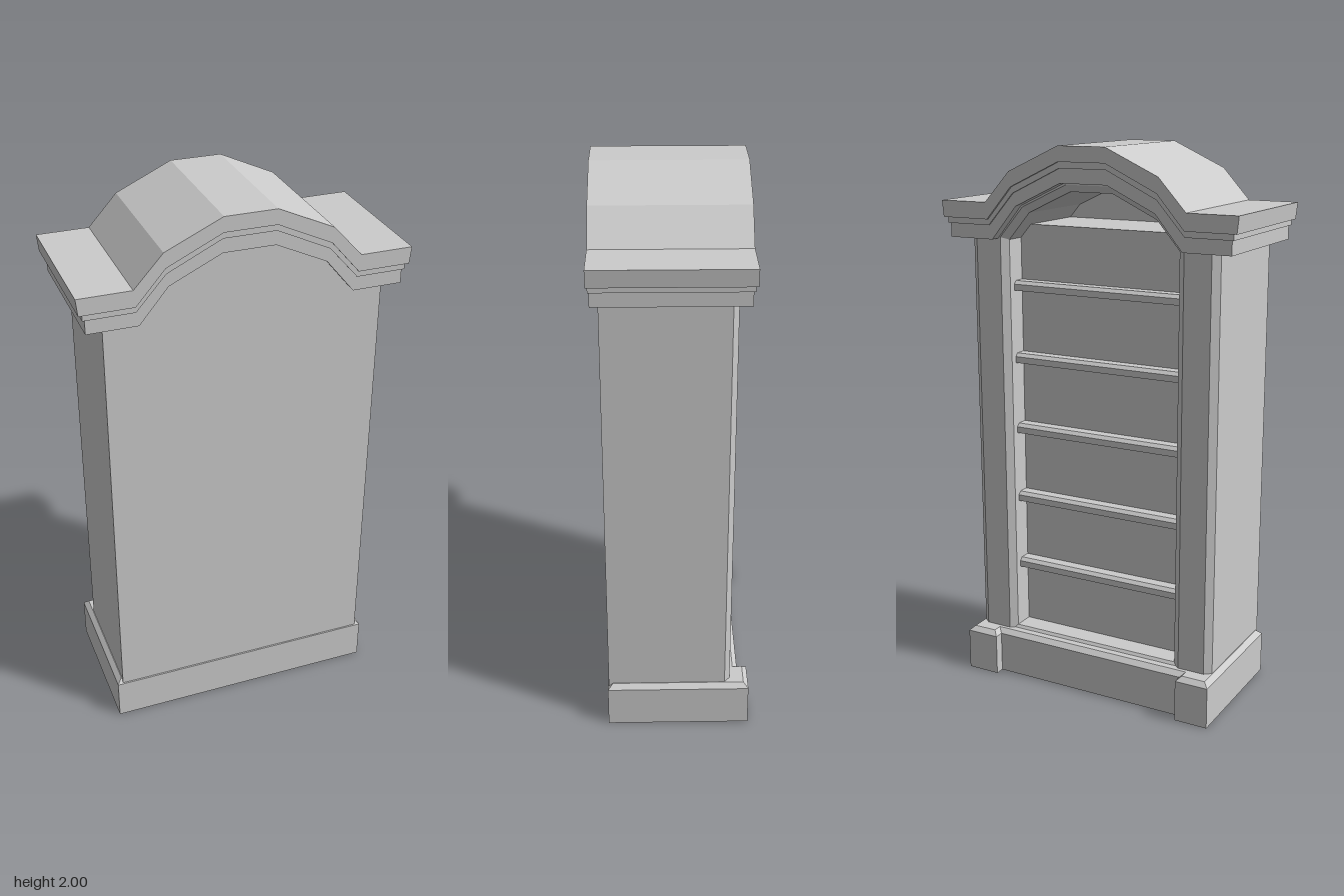
import * as THREE from 'three';

const material = new THREE.MeshStandardMaterial({ color: 0xcccccc, flatShading: true, side: THREE.DoubleSide });

// Closed symmetric shape from its right-hand half, listed from bottom to top
function mirrored(half, Type = THREE.Shape) {
  const left = half.map(([x, y]) => [-x, y]).reverse();
  return new Type([...half, ...left].map(([x, y]) => new THREE.Vector2(x, y)));
}

function add(group, name, geometry) {
  const mesh = new THREE.Mesh(geometry, material);
  mesh.name = name;
  group.add(mesh);
  return mesh;
}

function slab(group, name, shape, z0, z1) {
  const g = new THREE.ExtrudeGeometry(shape, { depth: z1 - z0, bevelEnabled: false });
  return add(group, name, g.translate(0, 0, z0));
}

function box(group, name, x0, x1, y0, y1, z0, z1) {
  const g = new THREE.BoxGeometry(x1 - x0, y1 - y0, z1 - z0);
  return add(group, name, g.translate((x0 + x1) / 2, (y0 + y1) / 2, (z0 + z1) / 2));
}

// Plan of the base with two projecting feet, pulled in by d
function basePlan(d) {
  return mirrored([[0.505 - d, -0.241 + d], [0.505 - d, 0.272 - d],
    [0.38 + d, 0.272 - d], [0.38 + d, 0.237 - d]]);
}

export function createModel() {
  const model = new THREE.Group();
  model.name = 'bookcase';

  // Base: straight plinth with a bevelled top
  const plinth = new THREE.ExtrudeGeometry(basePlan(0), { depth: 0.153, bevelEnabled: false });
  add(model, 'plinth', plinth.rotateX(-Math.PI / 2));
  const cap = new THREE.ExtrudeGeometry(basePlan(0.018), {
    depth: 0.073, bevelEnabled: true, bevelSegments: 1, bevelSize: 0.018, bevelThickness: 0.017,
  });
  add(model, 'plinthCap', cap.rotateX(-Math.PI / 2).translate(0, 0.08, 0));

  // Case: arched tube with bevelled edges around the open side
  const outline = mirrored([[0.46, 0.12], [0.46, 1.68], [0.372, 1.68], [0.272, 1.8], [0.09, 1.885]]);
  outline.holes.push(mirrored([[0.36, 0.155], [0.36, 1.675], [0.265, 1.785], [0.088, 1.868]], THREE.Path));
  const shell = new THREE.ExtrudeGeometry(outline, {
    depth: 0.385, bevelEnabled: true, bevelSegments: 1, bevelSize: 0.025, bevelThickness: 0.02,
  });
  add(model, 'caseShell', shell.translate(0, 0, -0.185));
  slab(model, 'frontPanel',
    mirrored([[0.485, 0.12], [0.485, 1.7], [0.372, 1.7], [0.272, 1.82], [0.09, 1.9]]), 0.17, 0.238);
  box(model, 'innerPanel', -0.345, 0.345, 0.12, 1.715, -0.108, 0.18);

  // Shelves with a chamfered top edge
  for (let i = 0; i < 5; i++) {
    const y = 0.447 + i * 0.267;
    const profile = new THREE.Shape([[0.1, -0.035], [0.16, -0.035], [0.16, -0.012], [0.148, 0], [0.1, 0]]
      .map(([a, b]) => new THREE.Vector2(a, b)));
    const g = new THREE.ExtrudeGeometry(profile, { depth: 0.68, bevelEnabled: false });
    add(model, 'shelf' + (i + 1), g.rotateY(Math.PI / 2).translate(-0.34, y, 0)).geometry
      .applyMatrix4(new THREE.Matrix4().makeRotationY(0));
    // profile's first axis already points towards the open side (-z)
  }

  // Cornice: lower moulding, thin shadow strip, and crown
  slab(model, 'lowerCornice', mirrored([[0.09, 1.875], [0.27, 1.79], [0.37, 1.67], [0.545, 1.67],
    [0.545, 1.735], [0.382, 1.735], [0.28, 1.85], [0.09, 1.94]]), -0.241, 0.262);
  slab(model, 'corniceStrip', mirrored([[0.09, 1.925], [0.278, 1.835], [0.38, 1.72], [0.553, 1.72],
    [0.553, 1.75], [0.384, 1.75], [0.282, 1.865], [0.09, 1.955]]), -0.246, 0.266);
  slab(model, 'crown', mirrored([[0.09, 1.947], [0.281, 1.857], [0.382, 1.741], [0.566, 1.741],
    [0.572, 1.8], [0.388, 1.8], [0.287, 1.91], [0.09, 2]]), -0.254, 0.272);

  return model;
}
